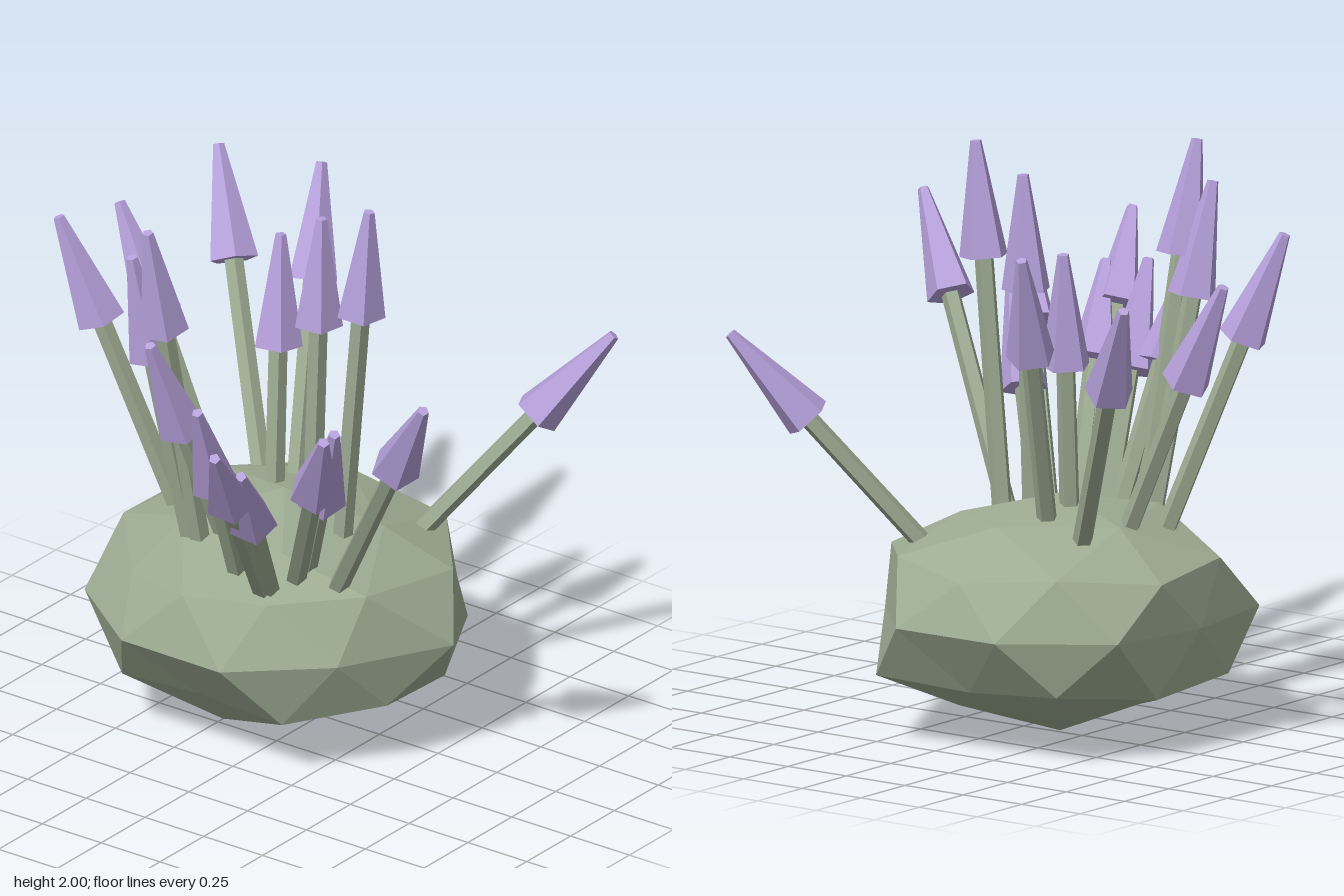
import * as THREE from 'three';

const leafGreen = new THREE.MeshStandardMaterial({ color: 0x9dab92, flatShading: true });
leafGreen.name = 'sage green';
const petalPurple = new THREE.MeshStandardMaterial({ color: 0xb7a1dc, flatShading: true });
petalPurple.name = 'lavender purple';

const UP = new THREE.Vector3(0, 1, 0);

// Flower spikes: tip x, y, z then root x, y, z
const SPIKES = [
  [-0.09, 1.77, -0.86, 0.08, 0.74, -0.49],
  [0.31, 1.66, -0.90, 0.27, 0.74, -0.46],
  [0.86, 1.67, -0.89, 0.47, 0.74, -0.42],
  [0.79, 1.77, -0.40, 0.42, 0.77, -0.23],
  [0.37, 1.70, -0.26, 0.28, 0.78, -0.22],
  [-0.33, 1.85, -0.37, -0.10, 0.72, -0.29],
  [-0.36, 1.98, -0.28, -0.10, 0.72, -0.25],
  [-0.40, 1.58, -0.24, -0.04, 0.74, -0.19],
  [-0.56, 1.48, 0.08, -0.17, 0.70, -0.04],
  [-0.93, 1.55, 0.43, -0.17, 0.65, 0.07],
  [-0.74, 1.40, 0.40, -0.16, 0.66, 0.09],
  [-0.59, 1.54, 0.64, -0.08, 0.68, 0.14],
  [-0.30, 1.41, 0.47, -0.02, 0.69, 0.14],
  [-0.37, 1.65, 0.90, -0.02, 0.66, 0.27],
  [0.20, 1.91, 0.04, 0.20, 0.76, 0.00],
  [0.19, 2.00, 0.25, 0.20, 0.74, 0.13],
  [0.93, 1.39, 0.74, 0.53, 0.66, 0.22],
];

// Corners of the bush that are pushed in or out
const DENTS = [
  // widest ring
  [0.23, 0.44, 0.58], [0.21, 0.43, -0.73], [0.61, 0.44, 0.32], [-0.15, 0.44, 0.37],
  [-0.42, 0.44, 0.07], [0.88, 0.44, 0.07],
  // lower ring
  [-0.26, 0.24, -0.14], [0.74, 0.22, -0.14], [0.78, 0.24, 0.23],
  // around the bottom point
  [-0.12, 0.09, -0.14], [0.12, 0.14, 0.20], [0.52, 0.11, 0.07], [0.12, 0.14, -0.48], [0.52, 0.11, -0.35],
  // upper rings
  [0.80, 0.61, -0.14], [-0.22, 0.63, 0.12], [-0.01, 0.66, 0.39], [-0.21, 0.59, -0.46],
  [0.34, 0.74, 0.20], [-0.06, 0.75, 0.07],
].map((p) => new THREE.Vector3(...p));

// Faceted bush: a squashed icosphere standing on one corner
function createBush() {
  const geo = new THREE.IcosahedronGeometry(1, 1);
  geo.rotateZ(Math.atan(2 / (1 + Math.sqrt(5))));
  geo.rotateY(Math.PI);
  const pos = geo.attributes.position;
  const v = new THREE.Vector3();
  for (let i = 0; i < pos.count; i++) {
    v.fromBufferAttribute(pos, i);
    v.set(0.23 + v.x * 0.68, 0.44 + v.y * (v.y > 0 ? 0.39 : 0.44), -0.14 + v.z * 0.68);
    const dent = DENTS.find((d) => d.distanceTo(v) < 0.15);
    if (dent) v.copy(dent);
    pos.setXYZ(i, v.x, v.y, v.z);
  }
  geo.computeVertexNormals();
  const bush = new THREE.Mesh(geo, leafGreen);
  bush.name = 'bush';
  return bush;
}

// Five-sided tapered piece, turned so a flat side faces forward
function createPrism(name, topRadius, bottomRadius, height, centreY, material) {
  const mesh = new THREE.Mesh(new THREE.CylinderGeometry(topRadius, bottomRadius, height, 5), material);
  mesh.name = name;
  mesh.position.y = centreY;
  mesh.rotation.y = 0.45;
  return mesh;
}

// One stem with a tapered blossom, leaning from root to tip
function createSpike([tx, ty, tz, rx, ry, rz], index) {
  const spike = new THREE.Group();
  spike.name = `flowerSpike${index + 1}`;
  const root = new THREE.Vector3(rx, ry, rz);
  const dir = new THREE.Vector3(tx, ty, tz).sub(root);
  const length = dir.length();
  const headLength = 0.4;
  const stemLength = length - headLength + 0.05;
  spike.add(
    createPrism('stem', 0.034, 0.036, stemLength, stemLength / 2 - 0.03, leafGreen),
    createPrism('blossom', 0.02, 0.087, headLength, length - headLength / 2, petalPurple),
  );
  spike.position.copy(root);
  spike.quaternion.setFromUnitVectors(UP, dir.normalize());
  return spike;
}

export function createModel() {
  const model = new THREE.Group();
  model.name = 'lavenderBush';
  model.add(createBush());
  SPIKES.forEach((s, i) => model.add(createSpike(s, i)));
  return model;
}
